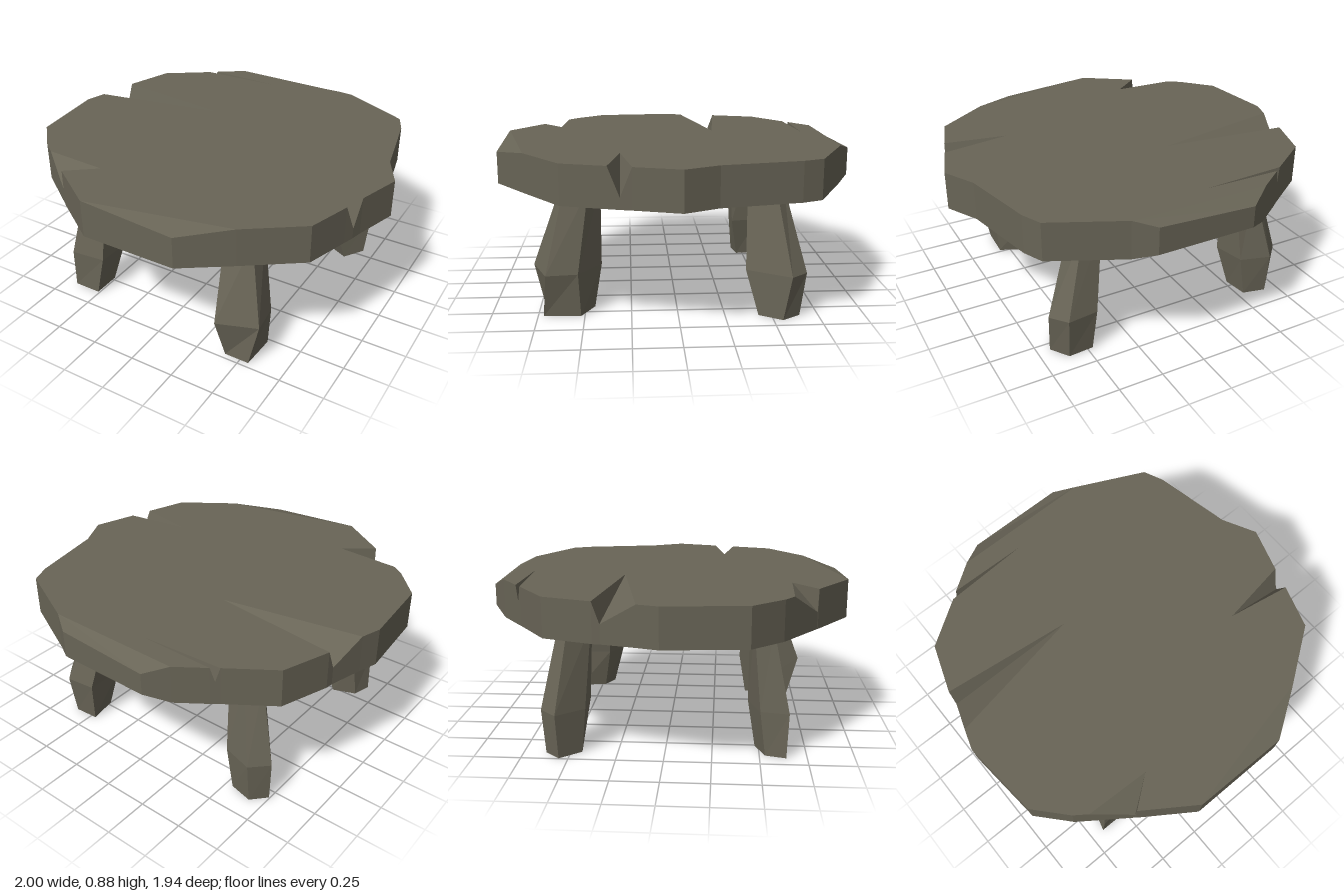
import * as THREE from 'three';

const TOP = 0.88, BOTTOM = 0.67;

// Flat-shaded mesh from a list of triangles, each given as three corners
function facetMesh(name, triangles, material) {
  const geometry = new THREE.BufferGeometry();
  geometry.setAttribute('position', new THREE.Float32BufferAttribute(triangles.flat(2), 3));
  geometry.computeVertexNormals();
  const mesh = new THREE.Mesh(geometry, material);
  mesh.name = name;
  return mesh;
}

// Horizontal face over a counter-clockwise outline of [x, y, z] corners
function cap(outline, up) {
  const flat = outline.map(([x, , z]) => new THREE.Vector2(x, -z));
  return THREE.ShapeUtils.triangulateShape(flat, []).map(([a, b, c]) =>
    (up ? [a, b, c] : [a, c, b]).map((i) => outline[i]));
}

// Rim of the slab, counter-clockwise from above. Worn points differ from the
// normal height; a tip is the inner end of a wedge-shaped crack.
const rim = [
  { x: 0.995, z: 0 }, { x: 0.9, z: -0.18 }, { x: 0.81, z: -0.6 }, { x: 0.76, z: -0.71 },
  { x: 0.38, z: -0.89 },
  { x: 0.27, z: -0.96, top: 0.85, bottom: 0.7 },
  { x: -0.27, z: -0.97, top: 0.83, bottom: 0.71 },
  { x: -0.39, z: -0.89 }, { x: -0.54, z: -0.785 },
  { x: -0.56, z: -0.77, top: 0.8, tip: [-0.11, -0.78] },
  { x: -0.58, z: -0.755 }, { x: -0.82, z: -0.59 }, { x: -0.91, z: -0.33 },
  { x: -0.915, z: -0.29, top: 0.77, tip: [-0.2, -0.25] },
  { x: -0.965, z: -0.11 }, { x: -1, z: 0 }, { x: -0.96, z: 0.43 },
  { x: -0.81, z: 0.595 }, { x: -0.74, z: 0.645 },
  { x: -0.55, z: 0.78, top: 0.76, tip: [-0.385, 0.66] },
  { x: -0.545, z: 0.785 }, { x: -0.27, z: 0.97 },
  { x: 0.27, z: 0.97, top: 0.845 },
  { x: 0.52, z: 0.8 }, { x: 0.81, z: 0.595 }, { x: 0.885, z: 0.36 },
  { x: 0.905, z: 0.3, top: 0.73, tip: [0.54, 0.3] },
  { x: 0.92, z: 0.24 },
];

// One face of the slab: flat cap, plus facets wherever the rim is worn away
function slabFace(side, level, up) {
  const triangles = [], outline = [];
  const at = (p) => [p.x, p[side] ?? level, p.z];
  const worn = (p) => p[side] !== undefined;
  rim.forEach((p, i) => {
    if (!worn(p)) { outline.push(at(p)); return; }
    if (worn(rim[i - 1])) return;
    const run = [rim[i - 1]];
    let k = i;
    while (worn(rim[k])) run.push(rim[k++]);
    run.push(rim[k]);
    const points = run.map(at);
    if (up && p.tip) {
      const tip = [p.tip[0], level, p.tip[1]];
      outline.push(tip);
      points.unshift(tip);
    }
    for (let j = 1; j < points.length - 1; j++) {
      const [b, c] = [points[j], points[j + 1]];
      triangles.push(up ? [points[0], b, c] : [points[0], c, b]);
    }
  });
  return triangles.concat(cap(outline, up));
}

function slab() {
  const triangles = [...slabFace('top', TOP, true), ...slabFace('bottom', BOTTOM, false)];
  rim.forEach((p, i) => {
    const q = rim[(i + 1) % rim.length];
    const [pt, qt] = [p, q].map((r) => [r.x, r.top ?? TOP, r.z]);
    const [pb, qb] = [p, q].map((r) => [r.x, r.bottom ?? BOTTOM, r.z]);
    triangles.push([pb, qb, qt], [pb, qt, pt]);
  });
  return triangles;
}

// Leg: foot, knee and top cross-sections joined by flat facets
function leg(sections) {
  const heights = [0, 0.24, 0.68];
  const rings = sections.map((s, r) => s.map(([x, z]) => [x, heights[r], z]));
  const triangles = [...cap(rings[0], false), ...cap(rings[2], true)];
  for (let r = 0; r < 2; r++) {
    rings[r].forEach((a, i) => {
      const j = (i + 1) % rings[r].length;
      const b = rings[r][j], c = rings[r + 1][j], d = rings[r + 1][i];
      triangles.push([a, b, c], [a, c, d]);
    });
  }
  return triangles;
}

// Hewn cross-sections [x, z] of each leg, foot to top
const legs = {
  frontLeftLeg: [
    [[0.41, 0.72], [0.55, 0.72], [0.56, 0.52], [0.42, 0.45]],
    [[0.38, 0.78], [0.6, 0.7], [0.58, 0.53], [0.4, 0.41]],
    [[0.35, 0.62], [0.5, 0.6], [0.5, 0.47], [0.36, 0.41]],
  ],
  backLeftLeg: [
    [[0.6, -0.43], [0.68, -0.55], [0.61, -0.65], [0.47, -0.64], [0.5, -0.48]],
    [[0.55, -0.365], [0.695, -0.59], [0.62, -0.68], [0.45, -0.66], [0.45, -0.44]],
    [[0.45, -0.38], [0.54, -0.52], [0.48, -0.57], [0.37, -0.56], [0.37, -0.42]],
  ],
  frontRightLeg: [
    [[-0.67, 0.64], [-0.51, 0.64], [-0.51, 0.48], [-0.64, 0.53]],
    [[-0.66, 0.65], [-0.46, 0.63], [-0.45, 0.44], [-0.63, 0.5]],
    [[-0.59, 0.56], [-0.46, 0.55], [-0.455, 0.44], [-0.58, 0.46]],
  ],
  backRightLeg: [
    [[-0.65, -0.44], [-0.52, -0.46], [-0.54, -0.6], [-0.67, -0.63], [-0.745, -0.55]],
    [[-0.64, -0.42], [-0.46, -0.42], [-0.5, -0.6], [-0.67, -0.65], [-0.76, -0.56]],
    [[-0.57, -0.39], [-0.46, -0.4], [-0.47, -0.54], [-0.58, -0.56], [-0.65, -0.5]],
  ],
};

export function createModel() {
  const stone = new THREE.MeshStandardMaterial({ color: 0x686456 });
  stone.name = 'weathered grey brown';

  const group = new THREE.Group();
  group.name = 'table';
  group.add(facetMesh('tableTop', slab(), stone));
  for (const [name, sections] of Object.entries(legs)) {
    group.add(facetMesh(name, leg(sections), stone));
  }
  return group;
}
